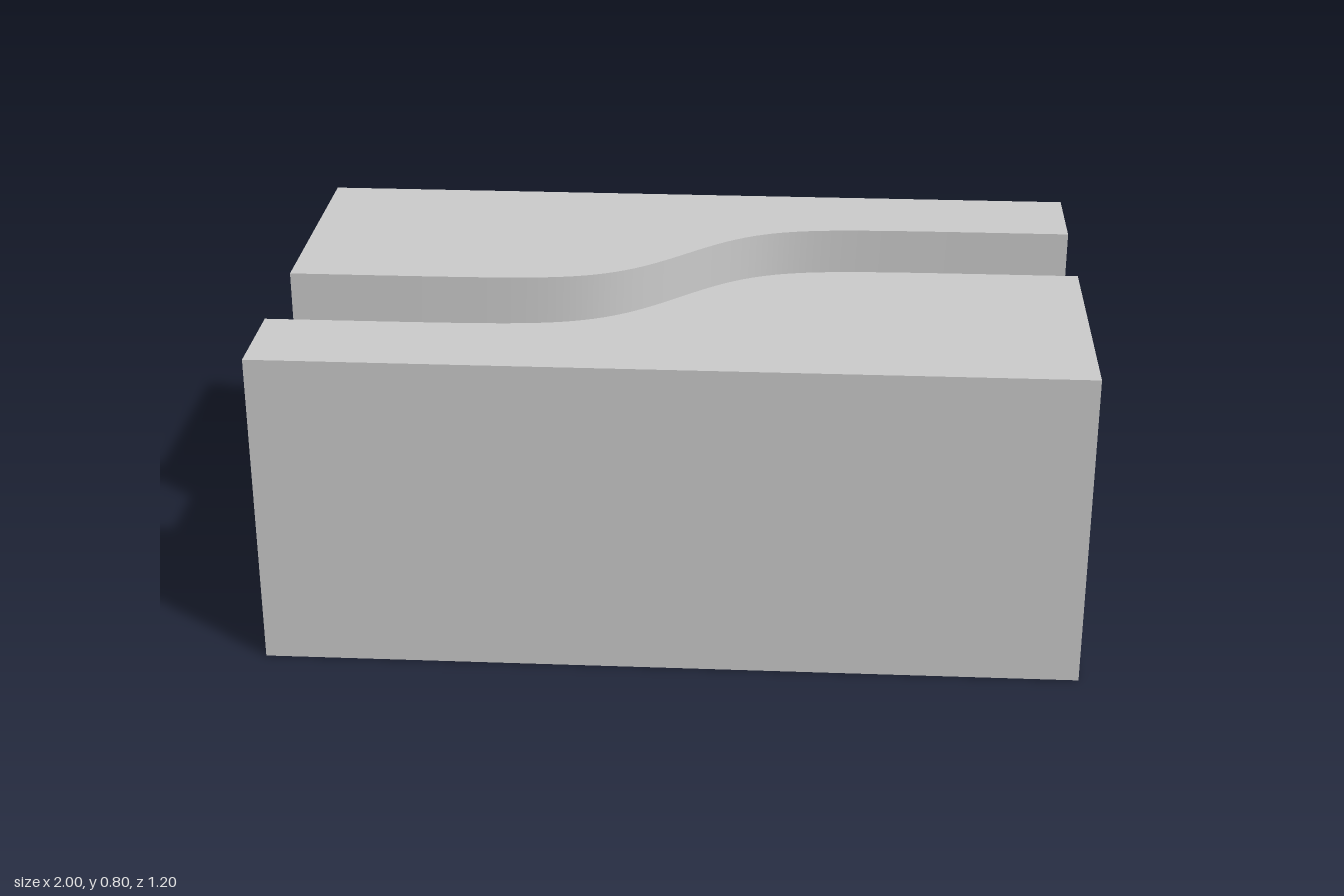
import * as THREE from 'three';
import { toCreasedNormals } from 'three/addons/utils/BufferGeometryUtils.js';

const LENGTH = 2, HALF_DEPTH = 0.6, HEIGHT = 0.8;
const CHANNEL_HALF = 0.15, CHANNEL_FLOOR = 0.6;

// Centre line of the channel: an S-bend from z = 0.2 to z = -0.2
const channelZ = (x) => -0.2 * Math.tanh(5 * x);

export function createModel() {
  const group = new THREE.Group();
  group.name = 'channelBlock';

  // U-shaped cross-section, extruded along the block's length
  const section = new THREE.Shape([
    [-HALF_DEPTH, 0], [HALF_DEPTH, 0], [HALF_DEPTH, HEIGHT],
    [CHANNEL_HALF, HEIGHT], [CHANNEL_HALF, CHANNEL_FLOOR],
    [-CHANNEL_HALF, CHANNEL_FLOOR], [-CHANNEL_HALF, HEIGHT],
    [-HALF_DEPTH, HEIGHT],
  ].map(([z, y]) => new THREE.Vector2(z, y)));
  const geometry = new THREE.ExtrudeGeometry(section, {
    depth: LENGTH, steps: 80, bevelEnabled: false,
  });
  geometry.translate(0, 0, -LENGTH / 2).rotateY(Math.PI / 2);

  // Slide the channel's corners sideways onto the S-bend
  const p = geometry.attributes.position;
  for (let i = 0; i < p.count; i++) {
    if (Math.abs(p.getZ(i)) < CHANNEL_HALF + 0.01) {
      p.setZ(i, p.getZ(i) + channelZ(p.getX(i)));
    }
  }

  const block = new THREE.Mesh(
    toCreasedNormals(geometry, 0.5),
    new THREE.MeshStandardMaterial({ color: 0xcccccc }),
  );
  block.name = 'blockWithCurvedChannel';
  group.add(block);
  return group;
}
